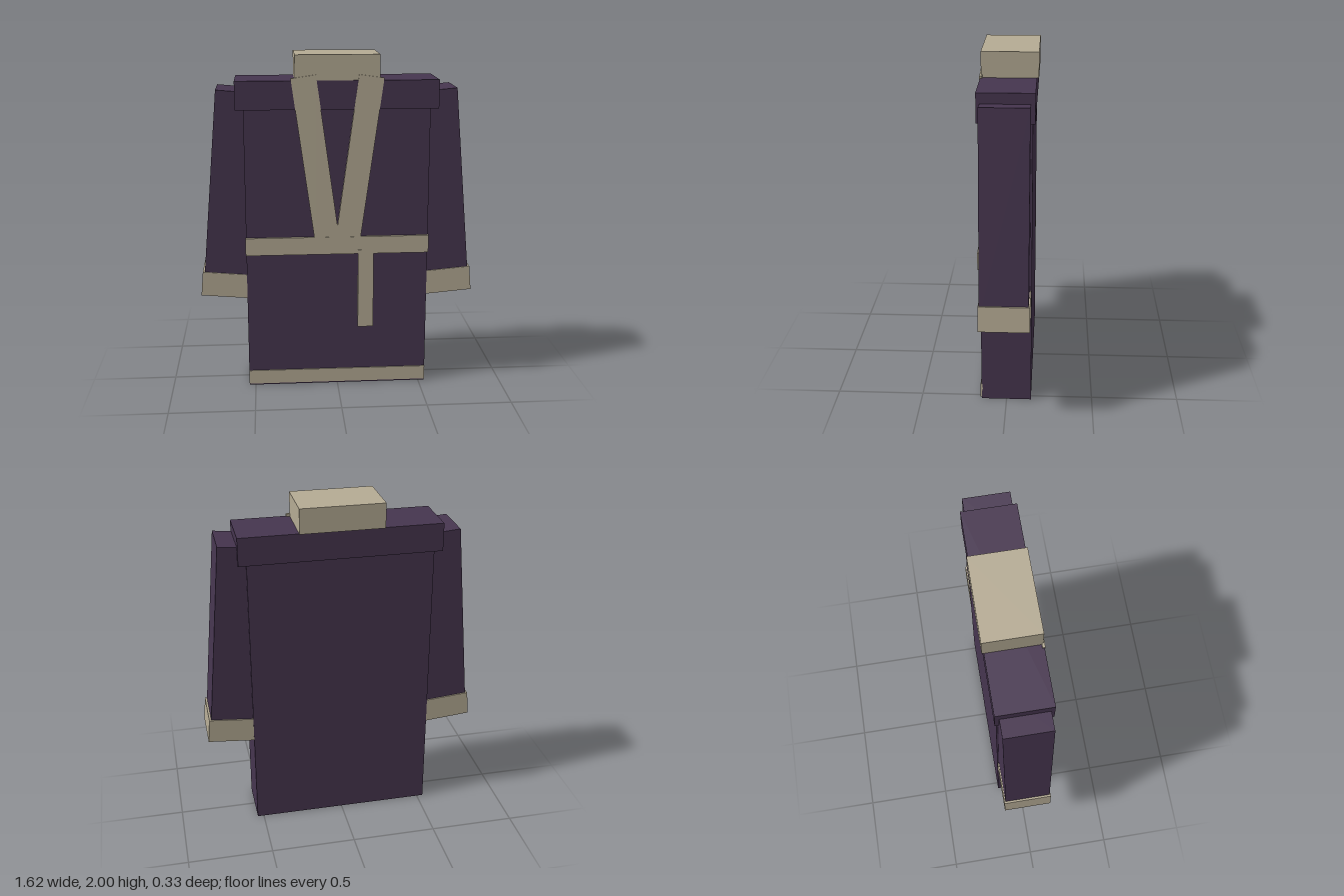
import * as THREE from 'three';

const cloth = new THREE.MeshStandardMaterial({ color: 0x46354f });
const trim = new THREE.MeshStandardMaterial({ color: 0xb5ab94 });

// Box given by its extents on each axis
function block(name, material, [x0, x1], [y0, y1], [z0, z1]) {
  const geometry = new THREE.BoxGeometry(x1 - x0, y1 - y0, z1 - z0);
  const mesh = new THREE.Mesh(geometry, material);
  mesh.name = name;
  mesh.position.set((x0 + x1) / 2, (y0 + y1) / 2, (z0 + z1) / 2);
  return mesh;
}

// Group hinged at a point and tilted about z
function tilted(name, x, y, degrees, ...parts) {
  const group = new THREE.Group();
  group.name = name;
  group.position.set(x, y, 0);
  group.rotation.z = THREE.MathUtils.degToRad(degrees);
  group.add(...parts);
  return group;
}

export function createModel() {
  const robe = new THREE.Group();
  robe.name = 'robe';

  // Main garment
  robe.add(
    block('body', cloth, [-0.538, 0.538], [0, 1.8], [-0.143, 0.146]),
    block('shoulderYoke', cloth, [-0.585, 0.585], [1.69, 1.855], [-0.156, 0.157]),
    block('collar', trim, [-0.243, 0.243], [1.855, 2], [-0.167, 0.153]),
    block('hem', trim, [-0.538, 0.538], [0.01, 0.095], [0.14, 0.153]),
    block('belt', trim, [-0.542, 0.542], [0.83, 0.935], [0.14, 0.162]),
    block('beltTie', trim, [0.122, 0.215], [0.37, 0.855], [0.15, 0.166])
  );

  for (const side of [-1, 1]) {
    const label = side > 0 ? 'left' : 'right';
    const span = (a, b) => (side > 0 ? [a, b] : [-b, -a]);

    // Sleeve and cuff, hinged at the outer shoulder corner
    robe.add(tilted(label + 'Arm', side * 0.692, 1.805, side * 5,
      block(label + 'Sleeve', cloth, span(-0.28, 0), [-1.15, 0], [-0.132, 0.137]),
      block(label + 'Cuff', trim, span(-0.3, 0.012), [-1.225, -1.08], [-0.14, 0.143])
    ));

    // Lapel, hinged at its upper inner corner and meeting its twin at the belt
    robe.add(tilted(label + 'LapelHinge', side * 0.123, 1.888, side * -7.9,
      block(label + 'Lapel', trim, span(0, 0.145), [-1.02, 0], [0.145, 0.1605])
    ));
  }
  return robe;
}
